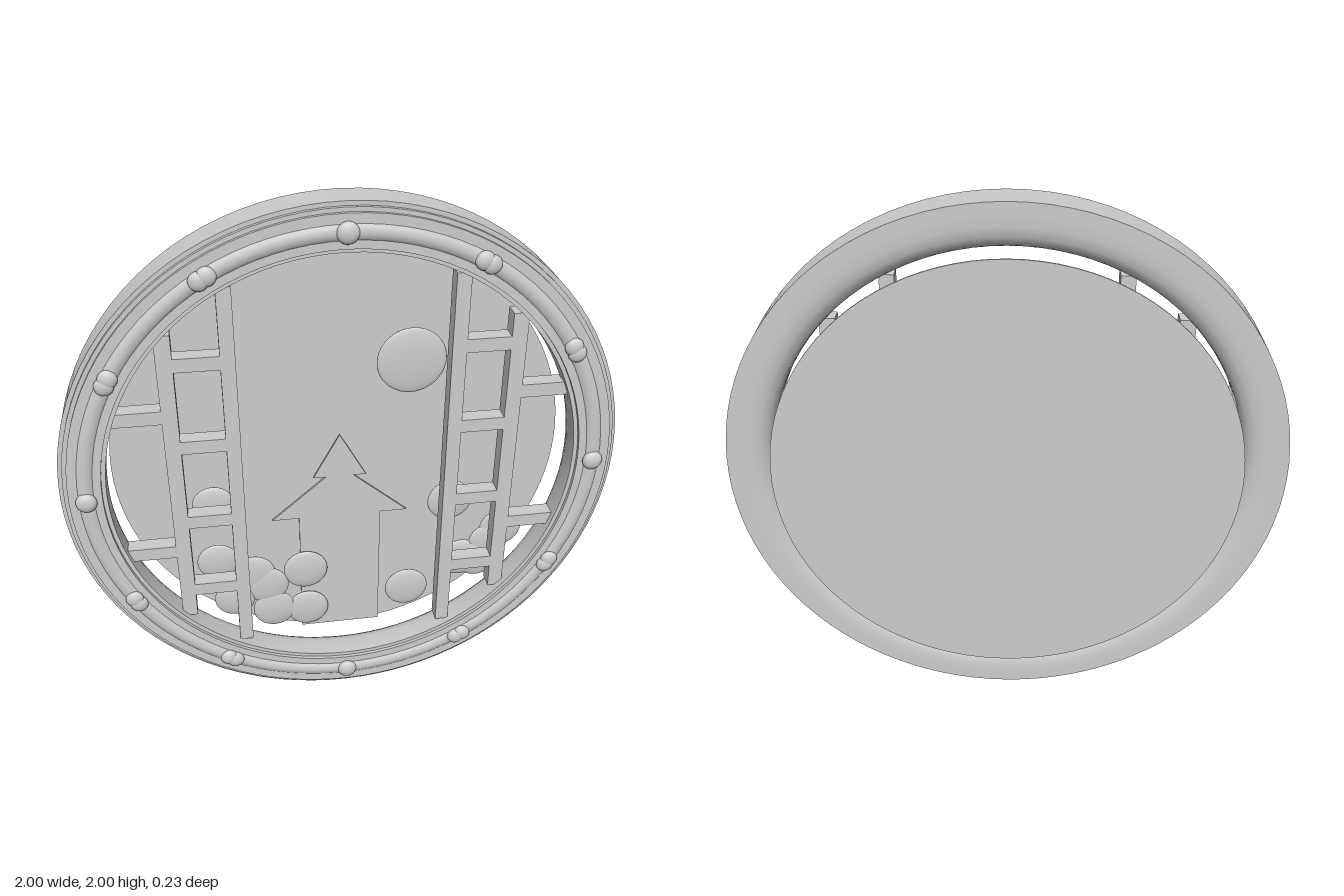
import * as THREE from 'three';
import { toCreasedNormals } from 'three/addons/utils/BufferGeometryUtils.js';

export function createModel() {
  const group = new THREE.Group();
  const grey = new THREE.MeshStandardMaterial({ color: 0xcccccc });
  grey.name = 'light grey';

  // all positions are relative to the centre of the round frame
  const add = (name, geometry, x = 0, y = 0, z = 0) => {
    const mesh = new THREE.Mesh(geometry, grey);
    mesh.name = name;
    mesh.position.set(x, y + 1, z);
    group.add(mesh);
    return mesh;
  };
  const box = (name, x0, x1, y0, y1, z0, z1) =>
    add(name, new THREE.BoxGeometry(x1 - x0, y1 - y0, z1 - z0),
      (x0 + x1) / 2, (y0 + y1) / 2, (z0 + z1) / 2);

  // frame: straight outer wall, stepped front, rounded back
  const profile = [
    [1, -0.067], [1, 0.062], [0.985, 0.062], [0.985, 0.076], [0.97, 0.076],
    [0.97, 0.088], [0.855, 0.088], [0.855, 0.075], [0.84, 0.075], [0.84, 0.0],
    [0.845, -0.025], [0.86, -0.045], [0.885, -0.06], [0.92, -0.067],
    [0.96, -0.067], [1, -0.067],
  ].map(([r, z]) => new THREE.Vector2(r, z));
  const frame = new THREE.LatheGeometry(profile, 96).rotateX(Math.PI / 2);
  add('frame', toCreasedNormals(frame, 0.6));
  add('frontMoulding', new THREE.TorusGeometry(0.91, 0.042, 16, 96), 0, 0, 0.056);

  // rivets: single on the main axes, twin-lobed in between
  const rivet = new THREE.SphereGeometry(0.037, 20, 14);
  for (let i = 0; i < 12; i++) {
    const a = (i * Math.PI) / 6;
    for (const d of i % 3 ? [-0.014, 0.014] : [0]) {
      const m = add('rivet', rivet,
        0.91 * Math.cos(a) - d * Math.sin(a), 0.91 * Math.sin(a) + d * Math.cos(a), 0.095);
      m.scale.z = 0.55;
      if (d) m.scale.multiplyScalar(0.9);
    }
  }

  // ladder bars on both sides
  const z0 = -0.01, z1 = 0.05;
  for (const s of [-1, 1]) {
    const bar = (name, a, b, y0, y1) =>
      box(name, Math.min(s * a, s * b), Math.max(s * a, s * b), y0, y1, z0, z1);
    bar('innerRail', 0.367, 0.418, -0.735, 0.74);
    bar('outerRail', 0.573, 0.628, -0.585, 0.585);
    for (const y of [0.475, 0.16, -0.155, -0.465]) bar('rung', 0.418, 0.573, y - 0.025, y + 0.025);
    for (const y of [0.285, -0.28]) bar('sideRung', 0.628, 0.83, y - 0.025, y + 0.025);
  }

  // backing disc
  add('backDisc', toCreasedNormals(
    new THREE.CylinderGeometry(0.835, 0.835, 0.006, 96).rotateX(Math.PI / 2), 0.6), 0, 0, -0.114);

  // tree-shaped arrow plate
  const half = [[0.1, -0.1], [0.052, -0.1], [0.262, -0.28], [0.158, -0.28], [0.158, -0.82]];
  const tree = new THREE.Shape([
    [0, 0.08], ...half.map(([x, y]) => [-x, y]), ...half.slice().reverse(),
  ].map(([x, y]) => new THREE.Vector2(x, y)));
  add('treePlate', new THREE.ExtrudeGeometry(tree, { depth: 0.008, bevelEnabled: false }), 0, 0, -0.1);

  // flattened balls: x, y, radius
  const ball = new THREE.SphereGeometry(1, 32, 20);
  const lens = (name, x, y, r, z) => add(name, ball, x, y, z).scale.set(r, r, 0.016);
  lens('moon', 0.26, 0.365, 0.127, -0.092);
  [
    [-0.48, -0.175, 0.08], [-0.48, -0.44, 0.08], [-0.425, -0.63, 0.08],
    [-0.345, -0.52, 0.085], [-0.295, -0.58, 0.085], [-0.27, -0.7, 0.085],
    [-0.14, -0.52, 0.087], [-0.135, -0.715, 0.083], [0.27, -0.655, 0.087],
    [0.43, -0.245, 0.088], [0.49, -0.53, 0.085], [0.56, -0.54, 0.085],
    [0.645, -0.4, 0.085], [0.6, -0.46, 0.08],
  ].forEach(([x, y, r], i) => lens('ball', x, y, r, -0.08 + (i % 3) * 0.002));

  return group;
}
